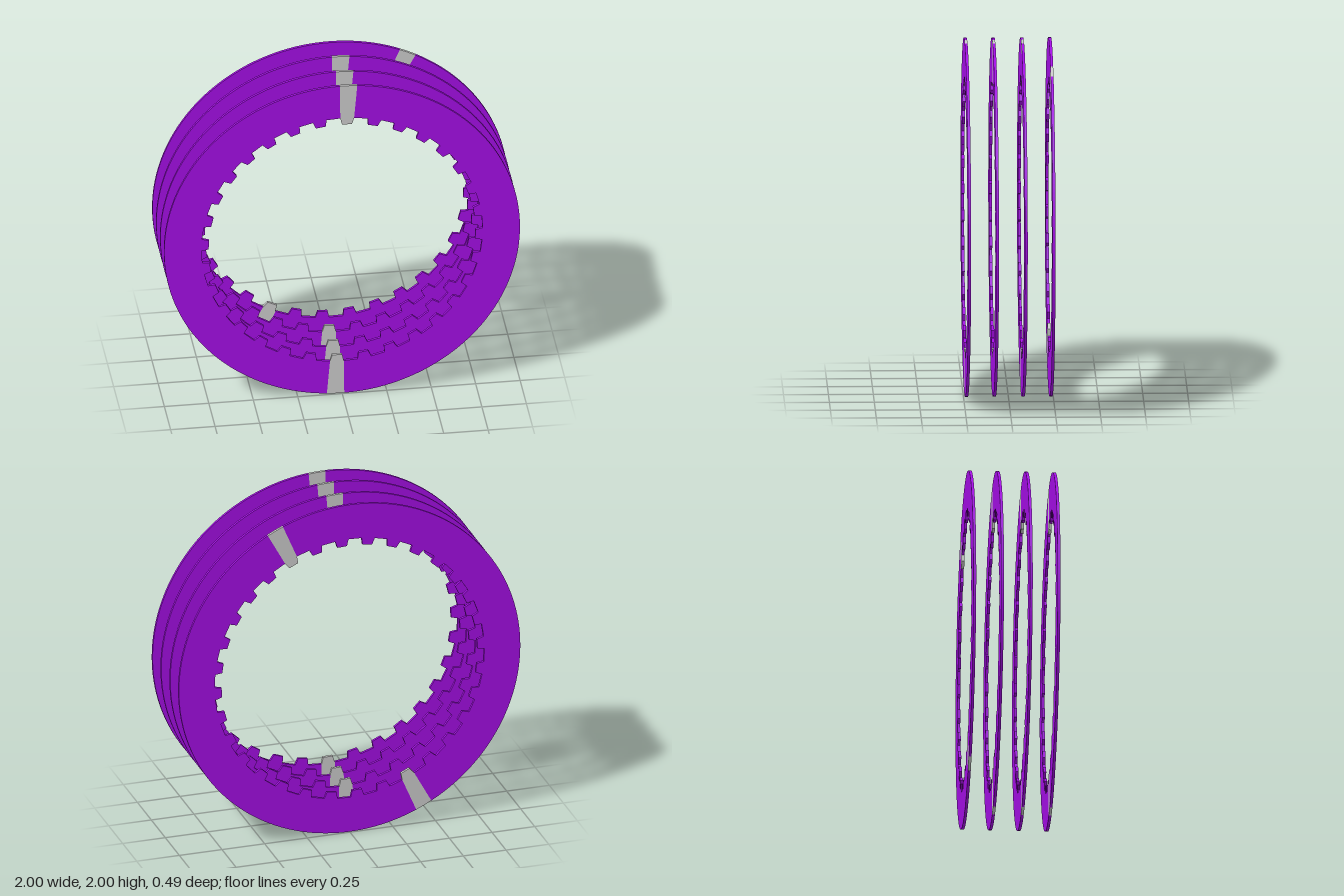
import * as THREE from 'three';

const TEETH = 32, THICK = 0.016;
const OUTER = 1, ROOT = 0.79, TIP = 0.75;
const HALF = Math.PI / TEETH;           // half a tooth pitch
const TAPER = HALF * 0.12;              // narrowing of a tooth towards its tip
const ARC_STEPS = 4;

// Angles run clockwise from the top, seen from the front
const polar = (r, a) => new THREE.Vector2(r * Math.sin(a), r * Math.cos(a));

// Points along an arc, both ends included
function arc(r, a0, a1, steps) {
  const pts = [];
  for (let i = 0; i <= steps; i++) pts.push(polar(r, a0 + (a1 - a0) * i / steps));
  return pts;
}

// Ring sector of several half pitches, alternating tooth and gap on the inside
function sector(start, count, firstIsTooth) {
  const pts = arc(OUTER, start, start + count * HALF, count * ARC_STEPS);
  for (let i = count - 1; i >= 0; i--) {
    const a = start + i * HALF, b = a + HALF;
    pts.push(...arc(ROOT, b, b, 0).filter(() => false));
    const tooth = (i % 2 === 0) === firstIsTooth;
    if (tooth) pts.push(polar(ROOT, b), polar(TIP, b - TAPER), polar(TIP, a + TAPER), polar(ROOT, a));
    else if (i === 0 || i === count - 1) pts.push(polar(ROOT, i === 0 ? a : b));
  }
  const geo = new THREE.ExtrudeGeometry(new THREE.Shape(pts), { depth: THICK, bevelEnabled: false });
  return geo.translate(0, 0, -THICK / 2);
}

export function createModel() {
  const purple = new THREE.MeshStandardMaterial({ color: 0xa30ee4 });
  const grey = new THREE.MeshStandardMaterial({ color: 0xcccccc });
  const model = new THREE.Group();
  model.name = 'toothedRings';

  const add = (parent, name, geo, mat) => {
    const mesh = new THREE.Mesh(geo, mat);
    mesh.name = name;
    parent.add(mesh);
    return mesh;
  };

  // One marker tooth and one purple half ring, each used twice per ring
  const markerGeo = sector(-HALF / 2, 1, true);
  const halfGeo = sector(HALF / 2, TEETH - 1, false);

  // Four equal discs; the rear one is turned further round
  const discs = [[0.235, 2.1], [0.08, 2.1], [-0.08, 2.1], [-0.235, 25.8]];
  discs.forEach(([z, degrees], n) => {
    const ring = new THREE.Group();
    ring.name = `ring${n + 1}`;
    for (const turn of [0, Math.PI]) {
      add(ring, 'markerSegment', markerGeo, grey).rotation.z = turn;
      add(ring, 'toothedHalfRing', halfGeo, purple).rotation.z = turn;
    }
    ring.rotation.z = -THREE.MathUtils.degToRad(degrees);
    ring.position.set(0, 1, z);
    model.add(ring);
  });
  return model;
}
